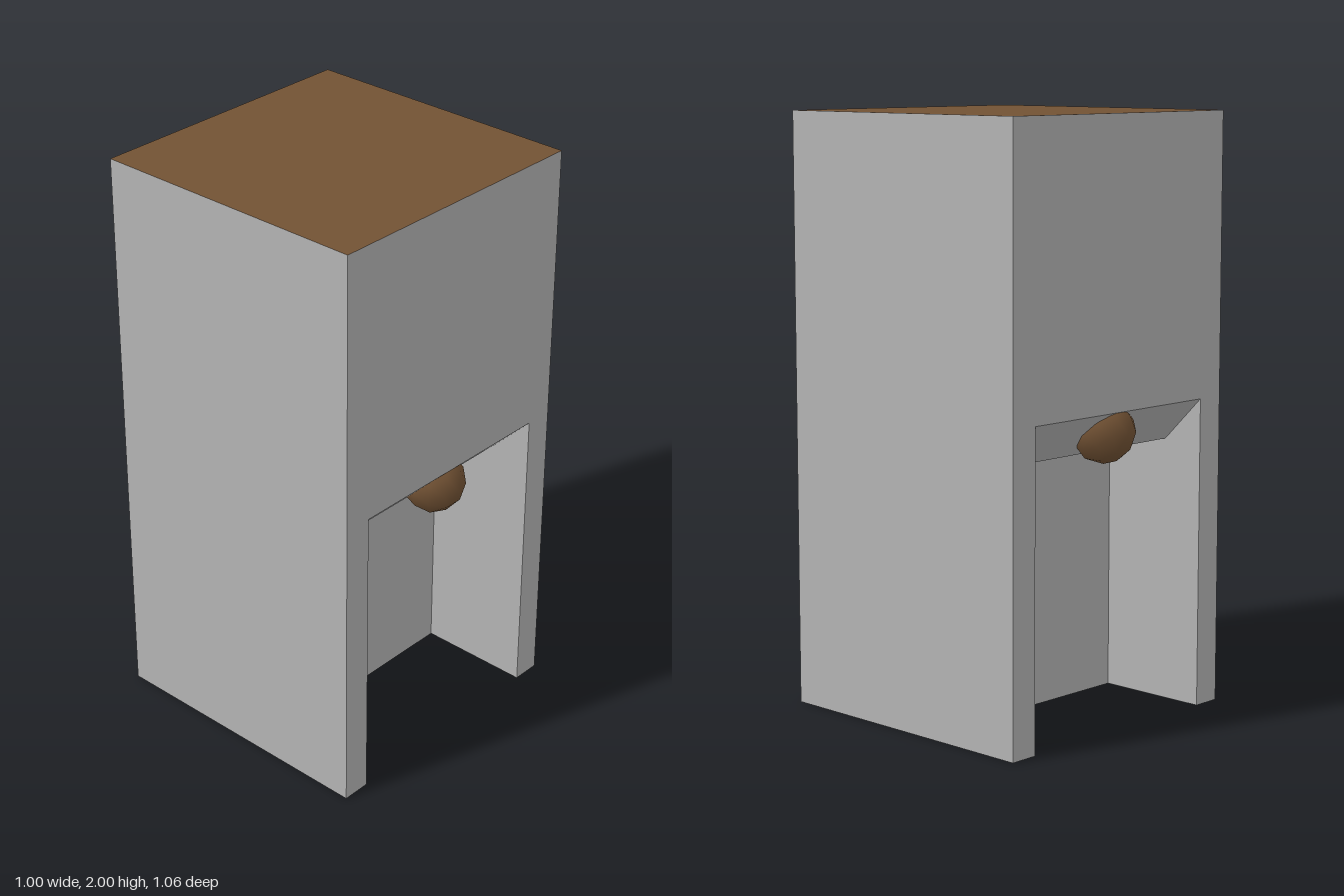
import * as THREE from 'three';

// Flat faces from convex-fan corner lists, counter-clockwise seen from outside
function faces(name, material, polygons) {
  const pos = [];
  for (const p of polygons) {
    for (let i = 1; i < p.length - 1; i++) pos.push(...p[0], ...p[i], ...p[i + 1]);
  }
  const geo = new THREE.BufferGeometry();
  geo.setAttribute('position', new THREE.Float32BufferAttribute(pos, 3));
  geo.computeVertexNormals();
  const mesh = new THREE.Mesh(geo, material);
  mesh.name = name;
  return mesh;
}

// The same polygon on the other side of x = 0
const mirror = (p) => p.map(([x, y, z]) => [-x, y, z]).reverse();

export function createModel() {
  const grey = new THREE.MeshStandardMaterial({ color: 0xb3b3b3 });
  grey.name = 'stone grey';
  const brown = new THREE.MeshStandardMaterial({ color: 0x725234 });
  brown.name = 'wood brown';

  const W = 0.5, H = 2;            // half width and height of the block
  const A = 0.4, B = 0.1;          // alcove half width, half thickness of the middle wall
  const Y = 0.9, L = 1.05, S = 0.35; // ceiling height, lintel height, depth where the slope ends

  // One half of the block, used for the front and turned round for the back
  function half(name) {
    const g = new THREE.Group();
    g.name = name;

    const post = [[A, 0, W], [W, 0, W], [W, H, W], [A, H, W]];
    g.add(faces('facade', grey, [
      post, mirror(post),
      [[-A, L, W], [A, L, W], [A, H, W], [-A, H, W]],
    ]));

    g.add(faces('sideWall', grey, [[[W, 0, W], [W, 0, -W], [W, H, -W], [W, H, W]]]));

    const cheek = [[A, Y, S], [A, Y, B], [A, 0, B], [A, 0, W], [A, L, W]];
    g.add(faces('alcoveWalls', grey, [
      cheek, mirror(cheek),
      [[-A, 0, B], [A, 0, B], [A, Y, B], [-A, Y, B]],
    ]));

    g.add(faces('slopedLintel', grey, [[[-A, Y, S], [A, Y, S], [A, L, W], [-A, L, W]]]));
    g.add(faces('alcoveCeiling', brown, [[[-A, Y, B], [A, Y, B], [A, Y, S], [-A, Y, S]]]));

    g.add(faces('underside', grey, [
      [[A, 0, -W], [W, 0, -W], [W, 0, W], [A, 0, W]],
      [[-A, 0, 0], [A, 0, 0], [A, 0, B], [-A, 0, B]],
    ]));

    // Ball set into the sloped lintel
    const ball = new THREE.Mesh(new THREE.IcosahedronGeometry(0.107, 1).rotateY(Math.PI / 2), brown);
    ball.name = 'ball';
    ball.position.set(0, 0.98, 0.425);
    g.add(ball);
    return g;
  }

  const model = new THREE.Group();
  model.name = 'alcoveBlock';
  const back = half('backHalf');
  back.rotation.y = Math.PI;
  model.add(half('frontHalf'), back);

  model.add(faces('top', brown, [[[-W, H, W], [W, H, W], [W, H, -W], [-W, H, -W]]]));
  return model;
}
